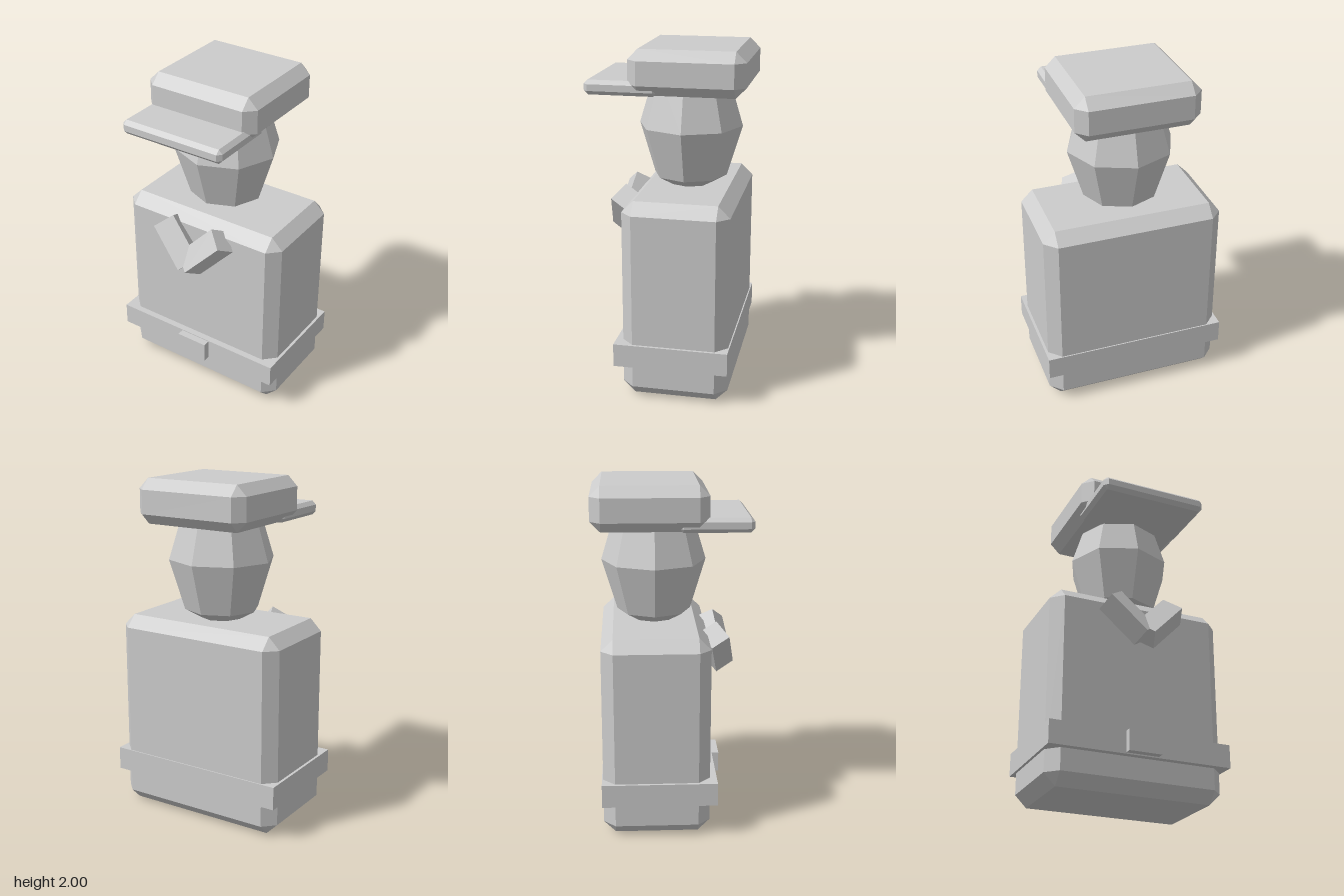
import * as THREE from 'three';
import { ConvexGeometry } from 'three/addons/geometries/ConvexGeometry.js';

const grey = new THREE.MeshStandardMaterial({ color: 0xcccccc });
grey.name = 'plain grey';

// Box with every edge cut at 45 degrees and triangular corners
function chamferedBox(w, h, d, c) {
  const x = w / 2, y = h / 2, z = d / 2, points = [];
  for (const i of [-1, 1]) for (const j of [-1, 1]) for (const k of [-1, 1]) {
    points.push(
      new THREE.Vector3(i * x, j * (y - c), k * (z - c)),
      new THREE.Vector3(i * (x - c), j * y, k * (z - c)),
      new THREE.Vector3(i * (x - c), j * (y - c), k * z));
  }
  return new ConvexGeometry(points);
}

export function createModel() {
  const model = new THREE.Group();
  model.name = 'cappedFigure';

  function add(name, geometry, x, y, z) {
    const mesh = new THREE.Mesh(geometry, grey);
    mesh.name = name;
    mesh.position.set(x, y, z);
    model.add(mesh);
    return mesh;
  }

  // Body with belt and buckle
  add('torso', chamferedBox(1.066, 1.18, 0.618, 0.069), 0, 0.59, -0.101);
  add('belt', new THREE.BoxGeometry(1.098, 0.137, 0.664), 0, 0.266, -0.085);
  add('buckle', new THREE.BoxGeometry(0.198, 0.124, 0.08), 0, 0.267, 0.25);

  // Faceted egg-shaped head
  const head = new THREE.SphereGeometry(0.312, 8, 4).scale(1, 1.345, 0.98).toNonIndexed();
  head.computeVertexNormals();
  add('head', head, 0, 1.53, -0.1);

  // Flat cap and visor
  add('cap', chamferedBox(0.708, 0.257, 0.666, 0.06), 0, 1.8715, -0.127);
  add('visor', chamferedBox(0.65, 0.084, 0.42, 0.023), 0, 1.78, 0.245);

  // Collar: two tilted bars crossing in a V
  const along = new THREE.Vector3(0.683, 0.717, -0.154).normalize();
  const across = new THREE.Vector3(-0.67, 0.52, -0.52);
  const out = new THREE.Vector3().crossVectors(along, across).normalize();
  across.crossVectors(out, along);
  const tilt = new THREE.Euler().setFromRotationMatrix(
    new THREE.Matrix4().makeBasis(along, across, out));
  for (const side of [1, -1]) {
    const bar = add(side > 0 ? 'leftCollar' : 'rightCollar',
      new THREE.BoxGeometry(0.293, 0.134, 0.123), side * 0.0975, 1.0125, 0.2675);
    bar.rotation.set(tilt.x, side * tilt.y, side * tilt.z);
  }

  return model;
}
